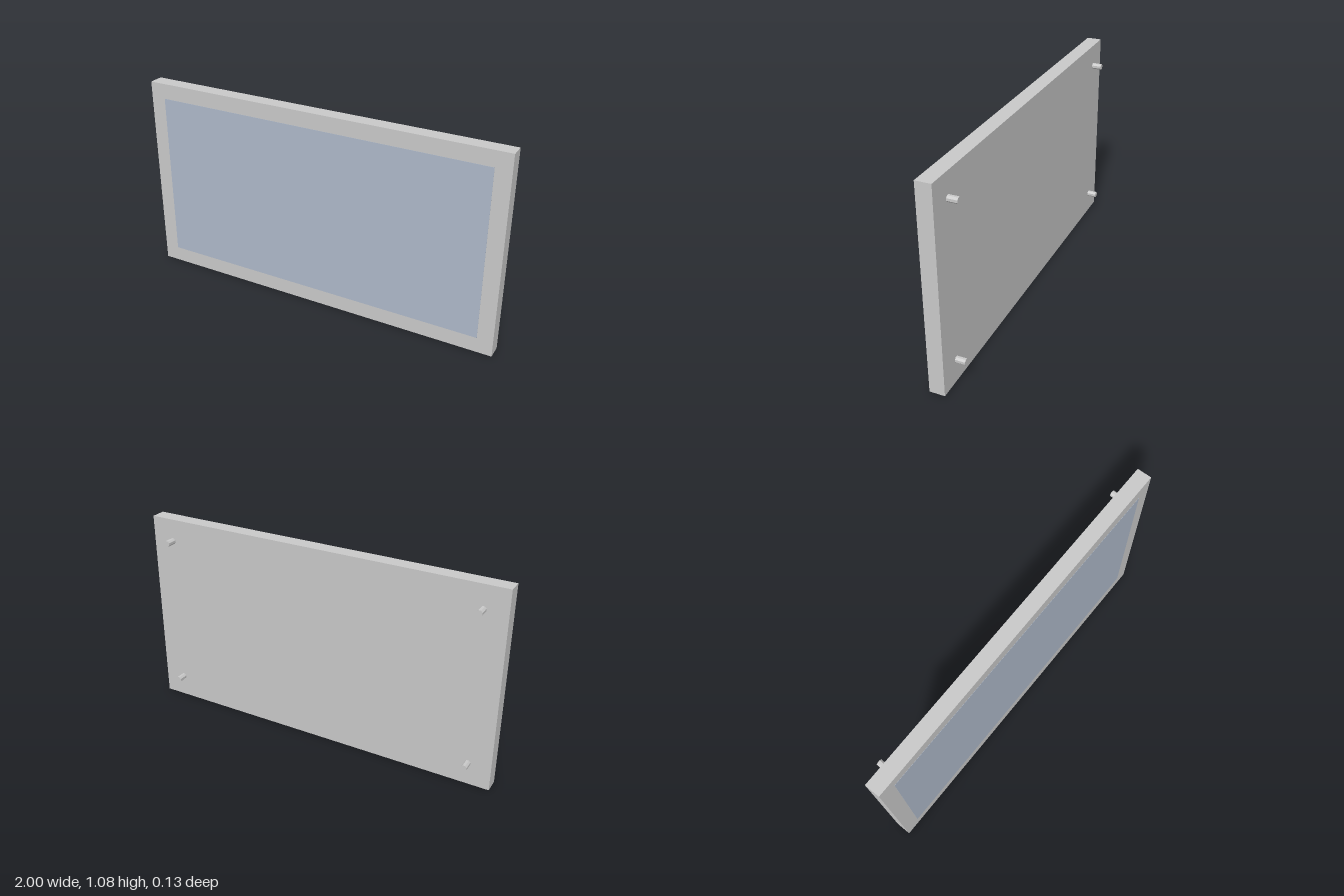
import * as THREE from 'three';

export function createModel() {
  const grey = new THREE.MeshStandardMaterial({ color: 0xc8c8c8 });
  grey.name = 'light grey casing';
  const blue = new THREE.MeshStandardMaterial({ color: 0xadb8c8 });
  blue.name = 'pale blue screen';

  const model = new THREE.Group();
  model.name = 'wallPanel';
  const H = 1.083, back = -0.02, front = 0.06;

  const add = (name, geometry, material, x, y, z) => {
    const mesh = new THREE.Mesh(geometry, material);
    mesh.name = name;
    mesh.position.set(x, y, z);
    model.add(mesh);
  };

  // Flat rectangular casing
  add('casing', new THREE.BoxGeometry(2, H, front - back), grey, 0, H / 2, (front + back) / 2);

  // Screen, practically flush with the casing front
  add('screen', new THREE.BoxGeometry(1.834, H - 0.166, 0.002), blue, 0, H / 2, front);

  // Four faceted mounting pegs on the back, flat sides facing up and down
  const pegLength = 0.052;
  const peg = new THREE.CylinderGeometry(0.0165, 0.0165, pegLength, 8)
    .rotateY(Math.PI / 8).rotateX(Math.PI / 2).toNonIndexed();
  peg.computeVertexNormals();
  for (const sx of [1, -1]) {
    for (const sy of [1, -1]) {
      const name = (sy > 0 ? 'upper' : 'lower') + (sx > 0 ? 'Left' : 'Right') + 'Peg';
      add(name, peg, grey, sx * 0.878, H / 2 + sy * 0.419, back - pegLength / 2);
    }
  }
  return model;
}
